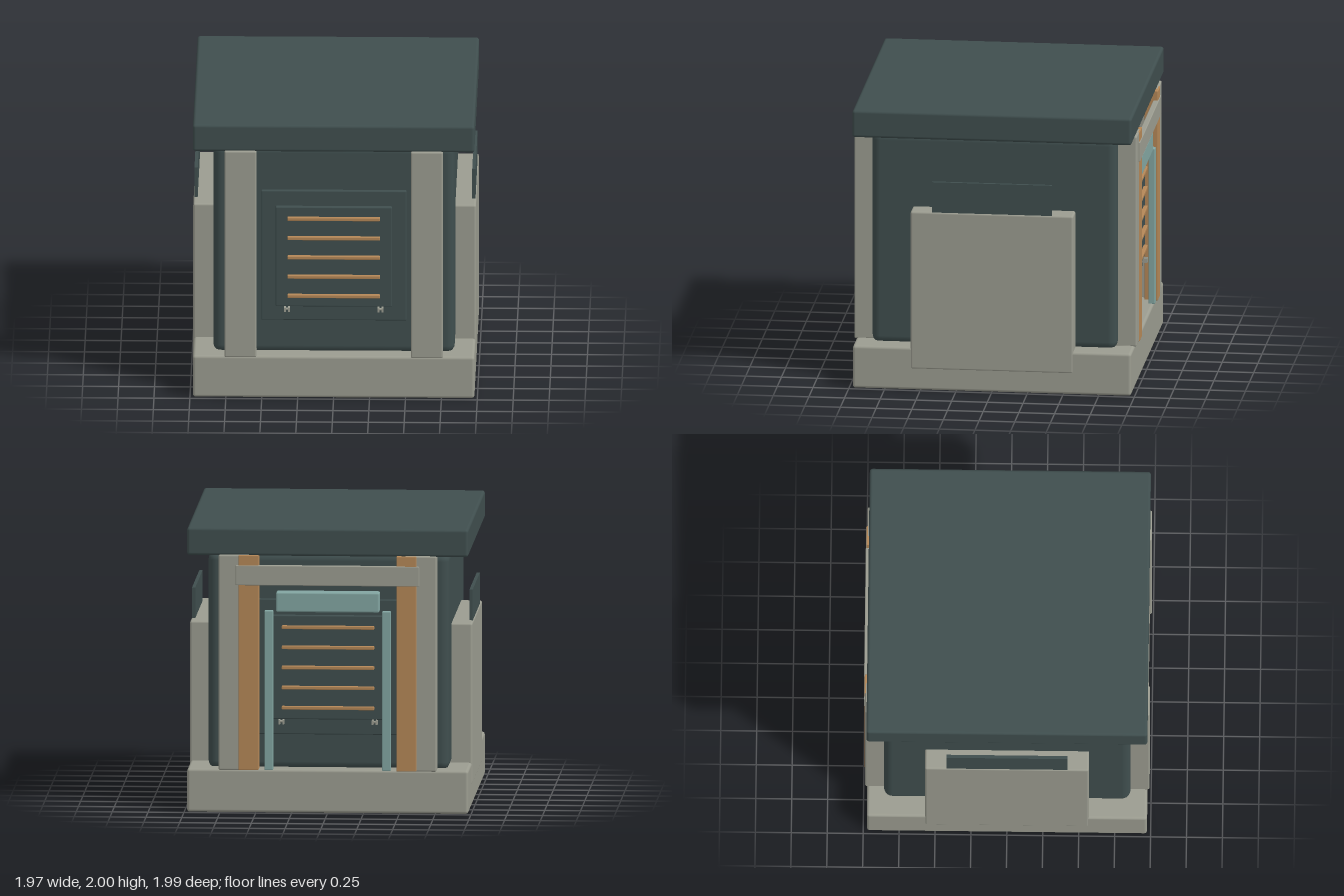
import * as THREE from 'three';
import { RoundedBoxGeometry } from 'three/addons/geometries/RoundedBoxGeometry.js';

const material = (name, color) => {
  const m = new THREE.MeshStandardMaterial({ color });
  m.name = name;
  return m;
};

export function createModel() {
  const slate = material('dark slate', 0x3f4e4e);
  const stone = material('pale stone', 0x9b9c90);
  const copper = material('copper', 0xb48757);
  const teal = material('pale teal', 0x82a5a1);

  const model = new THREE.Group();
  model.name = 'cabinet';

  // Box given by its limits on each axis, rounded when a radius is set
  function box(parent, name, mat, [x0, x1], [y0, y1], [z0, z1], radius = 0) {
    const size = [x1 - x0, y1 - y0, z1 - z0];
    const geometry = radius
      ? new RoundedBoxGeometry(...size, 3, radius)
      : new THREE.BoxGeometry(...size);
    const mesh = new THREE.Mesh(geometry, mat);
    mesh.name = name;
    mesh.position.set((x0 + x1) / 2, (y0 + y1) / 2, (z0 + z1) / 2);
    parent.add(mesh);
    return mesh;
  }
  const span = (side, a, b) => (side > 0 ? [a, b] : [-b, -a]);

  // Main masses
  box(model, 'base', stone, [-0.98, 0.98], [0, 0.305], [-0.975, 0.975], 0.02);
  box(model, 'body', slate, [-0.84, 0.84], [0.285, 1.815], [-0.858, 0.858], 0.06);
  box(model, 'roof', slate, [-0.98, 0.98], [1.805, 2], [-0.978, 0.978], 0.02);

  // Side blocks, each with a thin plate rising from the top
  for (const s of [1, -1]) {
    box(model, 'sideBlock', stone, span(s, 0.8, 0.984), [0.15, 1.285], [-0.57, 0.57], 0.015);
    box(model, 'sidePlate', slate, span(s, 0.955, 0.978), [1.2, 1.5], [-0.42, 0.42]);
  }

  // One face: corner pillars and a louvred panel
  function louvredFace(name) {
    const face = new THREE.Group();
    face.name = name;
    for (const s of [1, -1]) {
      box(face, 'pillar', stone, span(s, 0.537, 0.76), [0.298, 1.812], [0.84, 0.99], 0.012);
    }
    box(face, 'panelFrame', slate, [-0.505, 0.505], [0.54, 1.49], [0.84, 0.885], 0.008);
    box(face, 'panelDoor', slate, [-0.405, 0.405], [0.65, 1.38], [0.86, 0.915], 0.008);
    for (let i = 0; i < 5; i++) {
      const y = 0.732 + i * 0.1415;
      box(face, 'louvre', copper, [-0.322, 0.322], [y - 0.012, y + 0.012], [0.9, 0.942], 0.005);
    }
    // Small latches below the door
    for (const s of [1, -1]) {
      const x = s * 0.325;
      for (const d of [-0.014, 0.014]) {
        box(face, 'latchLug', stone, [x + d - 0.006, x + d + 0.006], [0.617, 0.648], [0.88, 0.94]);
      }
      const pin = new THREE.Mesh(new THREE.CylinderGeometry(0.009, 0.009, 0.04, 12), stone);
      pin.name = 'latchPin';
      pin.rotation.z = Math.PI / 2;
      pin.position.set(x, 0.636, 0.925);
      face.add(pin);
    }
    model.add(face);
    return face;
  }
  louvredFace('frontFace');
  const back = louvredFace('backFace');
  back.rotation.y = Math.PI;

  // Extra framing on the back
  for (const s of [1, -1]) {
    box(back, 'copperStrip', copper, span(s, 0.48, 0.62), [0.3, 1.81], [0.9, 0.995], 0.006);
    box(back, 'guidePost', teal, span(s, 0.38, 0.44), [0.3, 1.42], [0.94, 0.985], 0.006);
  }
  box(back, 'crossBeam', stone, [-0.64, 0.64], [1.6, 1.74], [0.96, 1], 0.006);
  box(back, 'headBox', teal, [-0.36, 0.36], [1.41, 1.55], [0.87, 0.975], 0.012);

  return model;
}
